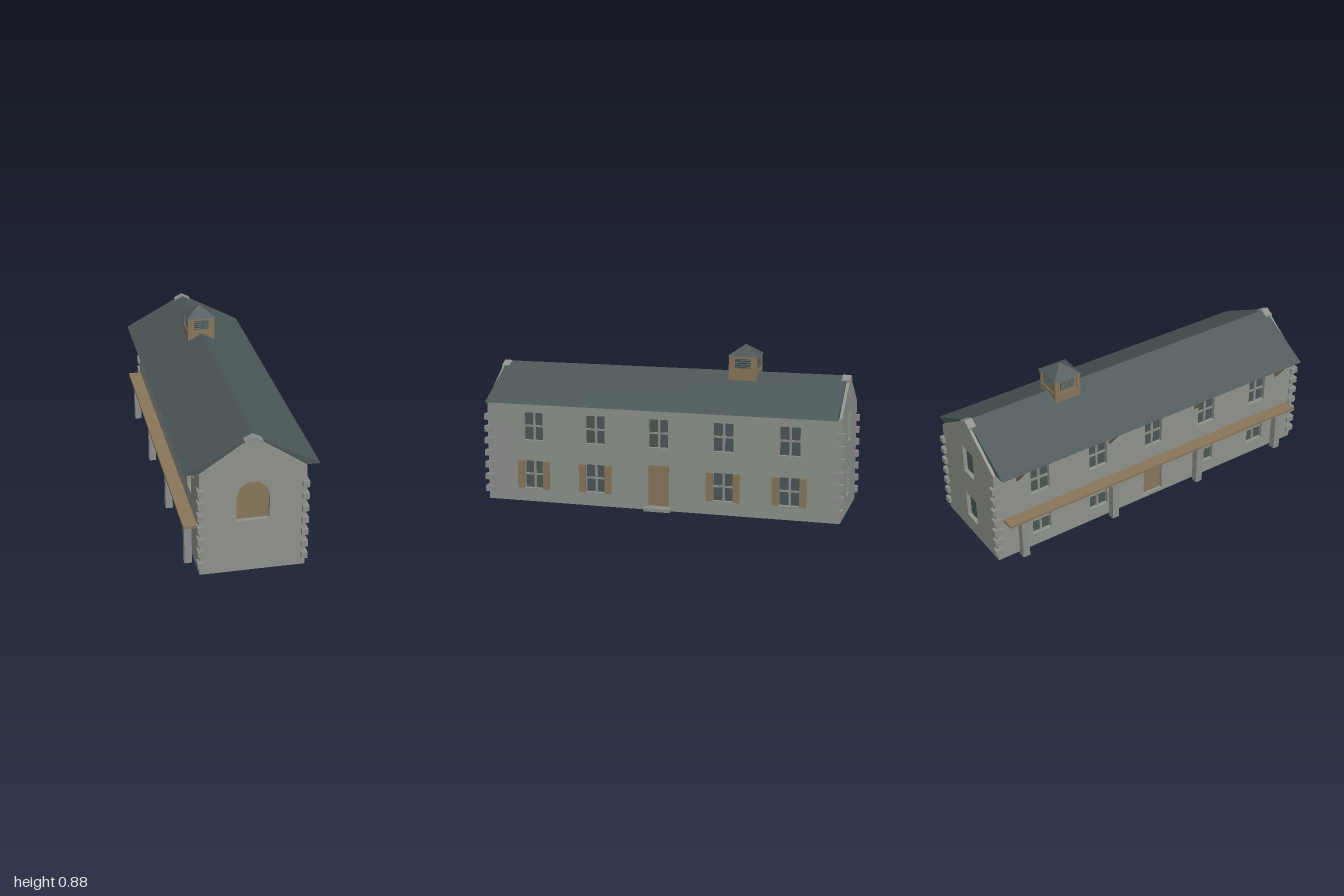
import * as THREE from 'three';

const mat = (name, color) => {
  const m = new THREE.MeshStandardMaterial({ color });
  m.name = name;
  return m;
};

export function createModel() {
  const wallMat = mat('wall stone', 0x8e928c);
  const trimMat = mat('trim stone', 0x8c8e8c);
  const slate = mat('slate', 0x4b5656);
  const wood = mat('wood', 0x88765a);

  const model = new THREE.Group();
  model.name = 'stoneHouse';
  const house = new THREE.Group();
  house.name = 'house';
  house.rotation.y = 0.0145; // the building stands slightly askew
  model.add(house);

  const add = (parent, name, geo, material, x = 0, y = 0, z = 0) => {
    const m = new THREE.Mesh(geo, material);
    m.name = name;
    m.position.set(x, y, z);
    parent.add(m);
    return m;
  };
  // box given by its limits
  const box = (parent, name, material, x0, x1, y0, y1, z0, z1) =>
    add(parent, name, new THREE.BoxGeometry(x1 - x0, y1 - y0, z1 - z0), material,
      (x0 + x1) / 2, (y0 + y1) / 2, (z0 + z1) / 2);
  const poly = (pts, Type = THREE.Shape) => new Type(pts.map(p => new THREE.Vector2(...p)));
  const rect = (x0, x1, y0, y1) => [[x0, y0], [x1, y0], [x1, y1], [x0, y1]];
  const extrude = (shape, depth) => new THREE.ExtrudeGeometry(shape, { depth, bevelEnabled: false });

  const HW = 0.268, HL = 0.978, T = 0.03, EAVE = 0.555, PEAK = 0.735;
  const RECESS = 0.022;

  // a facade faces +z in its own frame, its outer face at z = 0
  const facade = (name, angle, distance, outline, holes) => {
    const g = new THREE.Group();
    g.name = name;
    g.rotation.y = angle;
    g.position.set(Math.sin(angle) * distance, 0, Math.cos(angle) * distance);
    const shape = poly(outline);
    holes.forEach(h => shape.holes.push(poly(h, THREE.Path)));
    add(g, name + 'Wall', extrude(shape, T), wallMat, 0, 0, -T);
    house.add(g);
    return g;
  };

  const glazing = (g, u, y0, y1, w, bars) => {
    box(g, 'windowGlass', slate, u - w, u + w, y0, y1, -T, -RECESS);
    if (!bars) return;
    const ym = (y0 + y1) / 2;
    box(g, 'windowMullion', trimMat, u - 0.006, u + 0.006, y0, y1, -RECESS, -0.014);
    box(g, 'windowTransom', trimMat, u - w, u + w, ym - 0.005, ym + 0.005, -RECESS, -0.015);
  };

  // long side walls with five bays, the middle one holding the door
  const bays = [-0.71, -0.355, 0, 0.355, 0.71];
  const W = 0.055, LOW = [0.075, 0.228], UP = [0.343, 0.497];
  for (const side of [1, -1]) {
    const holes = [];
    bays.forEach(u => {
      holes.push(rect(u - W, u + W, ...UP));
      holes.push(u === 0 ? rect(-0.06, 0.06, 0.02, 0.247) : rect(u - W, u + W, ...LOW));
    });
    const L = HL - T;
    const g = facade(side > 0 ? 'rightSide' : 'porchSide', side * Math.PI / 2, HW, rect(-L, L, 0, EAVE), holes);
    bays.forEach(u => {
      glazing(g, u, ...UP, W, true);
      if (u === 0) {
        box(g, 'door', wood, -0.06, 0.06, 0.02, 0.247, -T, -0.018);
        return;
      }
      glazing(g, u, ...LOW, W, true);
      if (side > 0) for (const s of [-1, 1]) {
        const c = u + s * 0.073;
        box(g, 'shutter', wood, c - 0.018, c + 0.018, LOW[0], LOW[1], 0, 0.013);
      }
    });
    if (side > 0) box(g, 'doorStep', trimMat, -0.073, 0.073, 0, 0.018, -0.005, 0.037);
  }

  // gable ends
  const gable = [[-HW, 0], [HW, 0], [HW, EAVE], [0, PEAK], [-HW, EAVE]];
  const arch = [[-0.083, 0.285], [0.083, 0.285], [0.083, 0.41], [0.067, 0.465],
    [0.029, 0.495], [-0.029, 0.495], [-0.067, 0.465], [-0.083, 0.41]];
  const front = facade('frontGable', 0, HL, gable, [arch]);
  add(front, 'archedPanel', extrude(poly(arch), 0.008), wood, 0, 0, -T);
  const backWindows = [[0.09, 0.245], [0.39, 0.55]];
  const back = facade('backGable', Math.PI, HL, gable, backWindows.map(r => rect(-0.053, 0.053, ...r)));
  backWindows.forEach(r => glazing(back, 0, ...r, 0.053, false));

  box(house, 'floor', wallMat, -HW + 0.002, HW - 0.002, 0.0005, 0.01, -HL + 0.002, HL - 0.002);

  // roof prism with small stone caps over both peaks
  const RL = 0.962, RW = 0.337;
  add(house, 'roof', extrude(poly([[-RW, EAVE], [RW, EAVE], [0, PEAK + 0.001]]), RL * 2), slate, 0, 0, -RL);
  const cap = poly([[-0.045, 0.698], [0, 0.72], [0.045, 0.698], [0.045, 0.716], [0, 0.739], [-0.045, 0.716]]);
  for (const z of [0.936, -0.98]) add(house, 'ridgeCap', extrude(cap, 0.044), trimMat, 0, 0, z);

  // corner quoins
  for (const sx of [-1, 1]) for (const sz of [-1, 1]) for (let i = 0; i < 7; i++) {
    add(house, 'quoin', new THREE.BoxGeometry(0.033, 0.033, 0.047), trimMat,
      sx * 0.2625, 0.058 + i * 0.0673, sz * 0.972);
  }

  // porch shelf on posts, with slanted braces under the eave
  box(house, 'porchRoof', wood, -0.339, -0.262, 0.243, 0.257, -0.935, 0.935);
  const brace = poly([[-0.268, 0.468], [-0.268, 0.49], [-0.318, 0.556], [-0.337, 0.556]]);
  for (const z of [-0.84, -0.28, 0.28, 0.84]) {
    box(house, 'porchPost', trimMat, -0.322, -0.284, 0, 0.243, z - 0.02, z + 0.02);
    add(house, 'eaveBrace', extrude(brace, 0.02), wood, 0, 0, z - 0.01);
  }

  // cupola with louvres on four sides
  const cupola = new THREE.Group();
  cupola.name = 'cupola';
  cupola.position.set(0, 0, -0.412);
  house.add(cupola);
  box(cupola, 'cupolaBase', wood, -0.076, 0.076, 0.68, 0.747, -0.076, 0.076);
  box(cupola, 'cupolaBody', wood, -0.07, 0.07, 0.745, 0.827, -0.07, 0.07);
  for (const sx of [-1, 1]) for (const sz of [-1, 1])
    add(cupola, 'cupolaPost', new THREE.BoxGeometry(0.018, 0.08, 0.018), wood, sx * 0.067, 0.786, sz * 0.067);
  for (let k = 0; k < 4; k++) {
    const face = new THREE.Group();
    face.name = 'louvre';
    face.rotation.y = k * Math.PI / 2;
    cupola.add(face);
    box(face, 'louvrePanel', slate, -0.042, 0.042, 0.76, 0.81, 0.069, 0.072);
    for (let i = 0; i < 4; i++) {
      const slat = add(face, 'louvreSlat', new THREE.BoxGeometry(0.082, 0.003, 0.009), slate, 0, 0.767 + i * 0.012, 0.073);
      slat.rotation.x = 0.6;
    }
  }
  const cone = new THREE.ConeGeometry(0.083 * Math.SQRT2, 0.057, 4).toNonIndexed();
  cone.rotateY(Math.PI / 4);
  cone.computeVertexNormals();
  add(cupola, 'cupolaRoof', cone, slate, 0, 0.8535, 0);

  return model;
}
